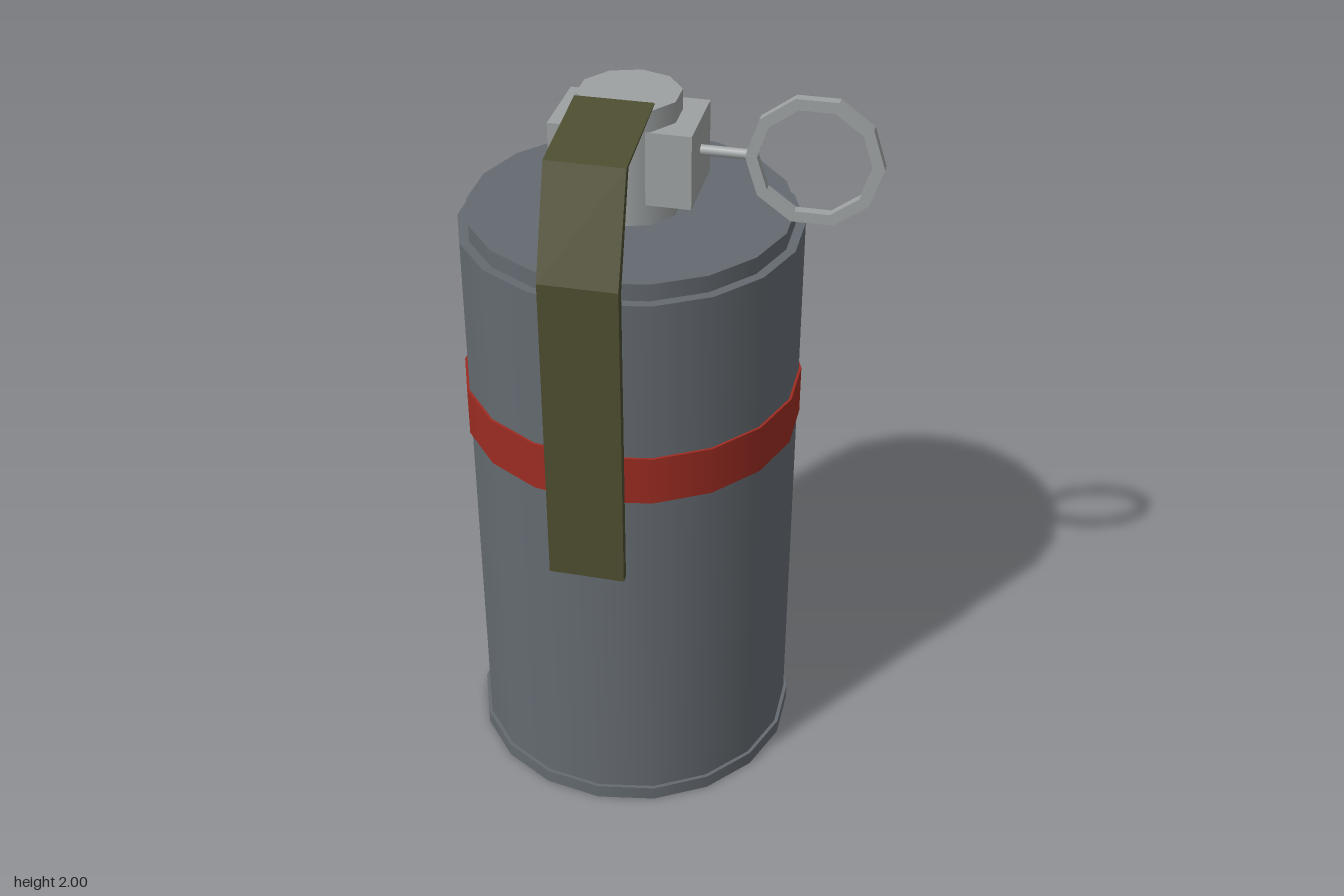
import * as THREE from 'three';

const CX = -0.097, CZ = -0.028; // axis of the canister

export function createModel() {
  const group = new THREE.Group();
  const material = (name, color) => {
    const m = new THREE.MeshStandardMaterial({ color });
    m.name = name;
    return m;
  };
  const bodyGrey = material('bodyGrey', 0x646a70);
  const metal = material('lightMetal', 0x9da1a1);
  const red = material('bandRed', 0x9c2c22);
  const olive = material('leverOlive', 0x4d4d30);

  const add = (name, geometry, mat, x = 0, y = 0, z = 0) => {
    const mesh = new THREE.Mesh(geometry, mat);
    mesh.name = name;
    mesh.position.set(x, y, z);
    group.add(mesh);
    return mesh;
  };
  // Upright drum on the canister axis, from y0 to y1
  const drum = (name, radius, y0, y1, sides, mat, open = false) =>
    add(name, new THREE.CylinderGeometry(radius, radius, y1 - y0, sides, 1, open), mat, CX, (y0 + y1) / 2, CZ);

  // Canister
  drum('baseRim', 0.454, 0, 0.04, 18, bodyGrey);
  drum('body', 0.444, 0.04, 1.61, 18, bodyGrey);
  drum('lid', 0.419, 1.61, 1.655, 18, bodyGrey);
  drum('band', 0.451, 1.04, 1.175, 18, red);

  // Fuse head
  drum('fuseHub', 0.131, 1.655, 1.96, 10, metal);
  add('fuseBlock', new THREE.BoxGeometry(0.36, 0.195, 0.22), metal, CX, 1.808, CZ);

  // Pin, running sideways from the block to the ring
  const pin = add('pin', new THREE.CylinderGeometry(0.014, 0.014, 0.15, 8), metal, 0.145, 1.822, CZ);
  pin.rotation.z = Math.PI / 2;

  // Ten-sided pull ring with a square section
  const decagon = (r) => Array.from({ length: 10 }, (_, i) => {
    const a = (i / 10) * Math.PI * 2;
    return new THREE.Vector2(r * Math.cos(a), r * Math.sin(a));
  });
  const ringShape = new THREE.Shape(decagon(0.172));
  ringShape.holes.push(new THREE.Path(decagon(0.142)));
  const ringGeometry = new THREE.ExtrudeGeometry(ringShape, { depth: 0.026, bevelEnabled: false });
  add('pullRing', ringGeometry, metal, 0.367, 1.821, CZ - 0.013);

  // Bent safety lever: side profile as (z, y), extruded across its width
  const profile = [
    [0.452, 0.84], [0.475, 0.84], [0.482, 1.69], [0.392, 1.963],
    [0.115, 2.0], [0.115, 1.997], [0.373, 1.957], [0.457, 1.68],
  ].map(([z, y]) => new THREE.Vector2(z, y));
  const leverGeometry = new THREE.ExtrudeGeometry(new THREE.Shape(profile), { depth: 0.196, bevelEnabled: false });
  leverGeometry.rotateY(-Math.PI / 2);
  add('lever', leverGeometry, olive);

  return group;
}
